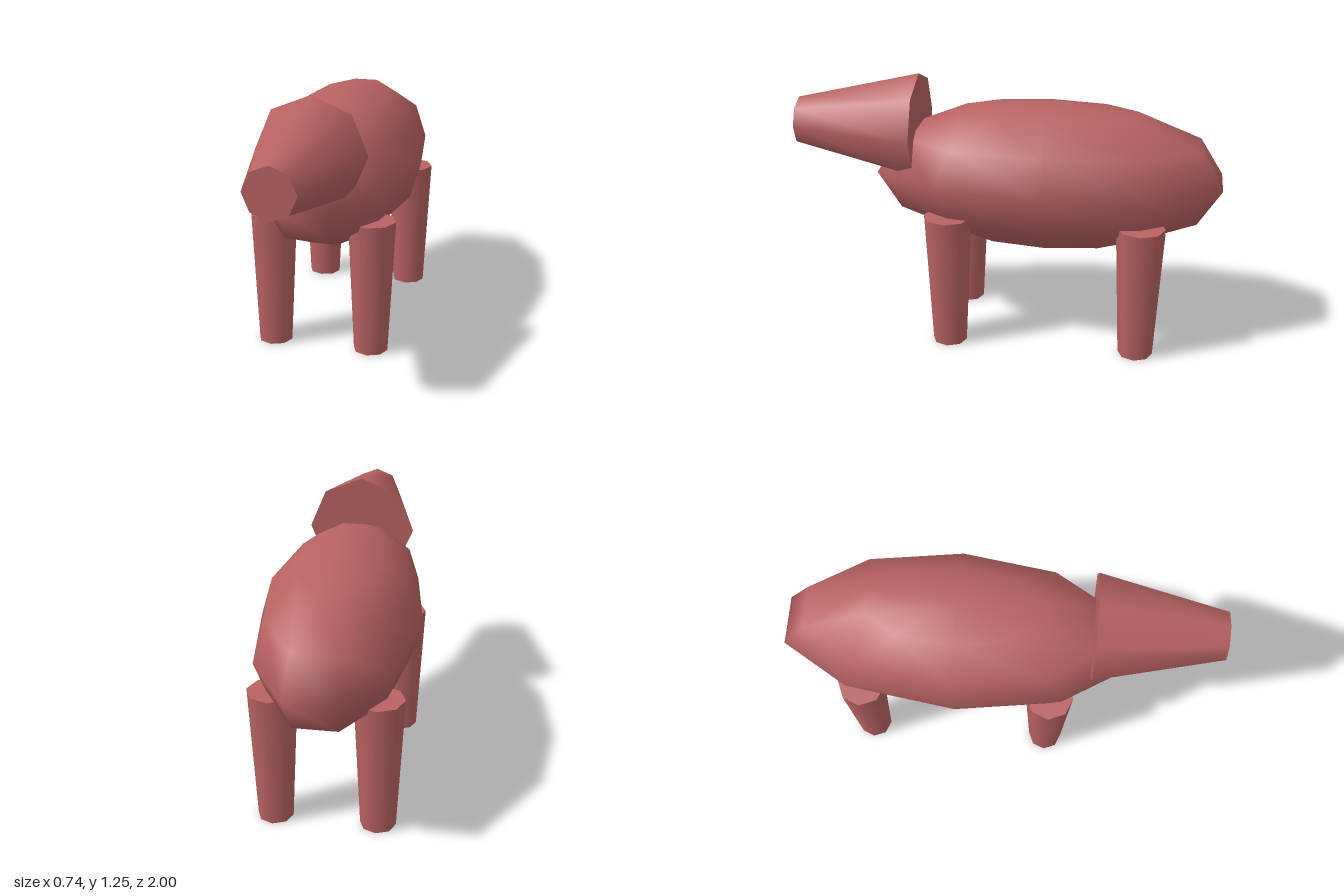
import * as THREE from 'three';

const hide = new THREE.MeshStandardMaterial({ color: 0xb96262 });
hide.name = 'dusty red hide';

function part(name, geometry, x, y, z) {
  const mesh = new THREE.Mesh(geometry, hide);
  mesh.name = name;
  mesh.position.set(x, y, z);
  return mesh;
}

export function createModel() {
  const model = new THREE.Group();
  model.name = 'animal';

  // Barrel body: coarse ellipsoid with upright poles
  const bodyGeometry = new THREE.SphereGeometry(1, 10, 6).scale(0.37, 0.35, 0.841);
  model.add(part('body', bodyGeometry, 0, 0.79, -0.2));

  // Head: eight-sided cone frustum narrowing to the muzzle
  const headGeometry = new THREE.CylinderGeometry(0.115, 0.255, 0.585, 8).rotateX(Math.PI / 2);
  model.add(part('head', headGeometry, 0, 0.99, 0.7075));

  // Four tapered legs
  const legGeometry = new THREE.CylinderGeometry(0.112, 0.081, 0.64, 8);
  for (const [end, z] of [['front', 0.242], ['back', -0.645]]) {
    for (const [side, x] of [['Left', 0.233], ['Right', -0.233]]) {
      model.add(part(`${end}${side}Leg`, legGeometry, x, 0.32, z));
    }
  }

  return model;
}
